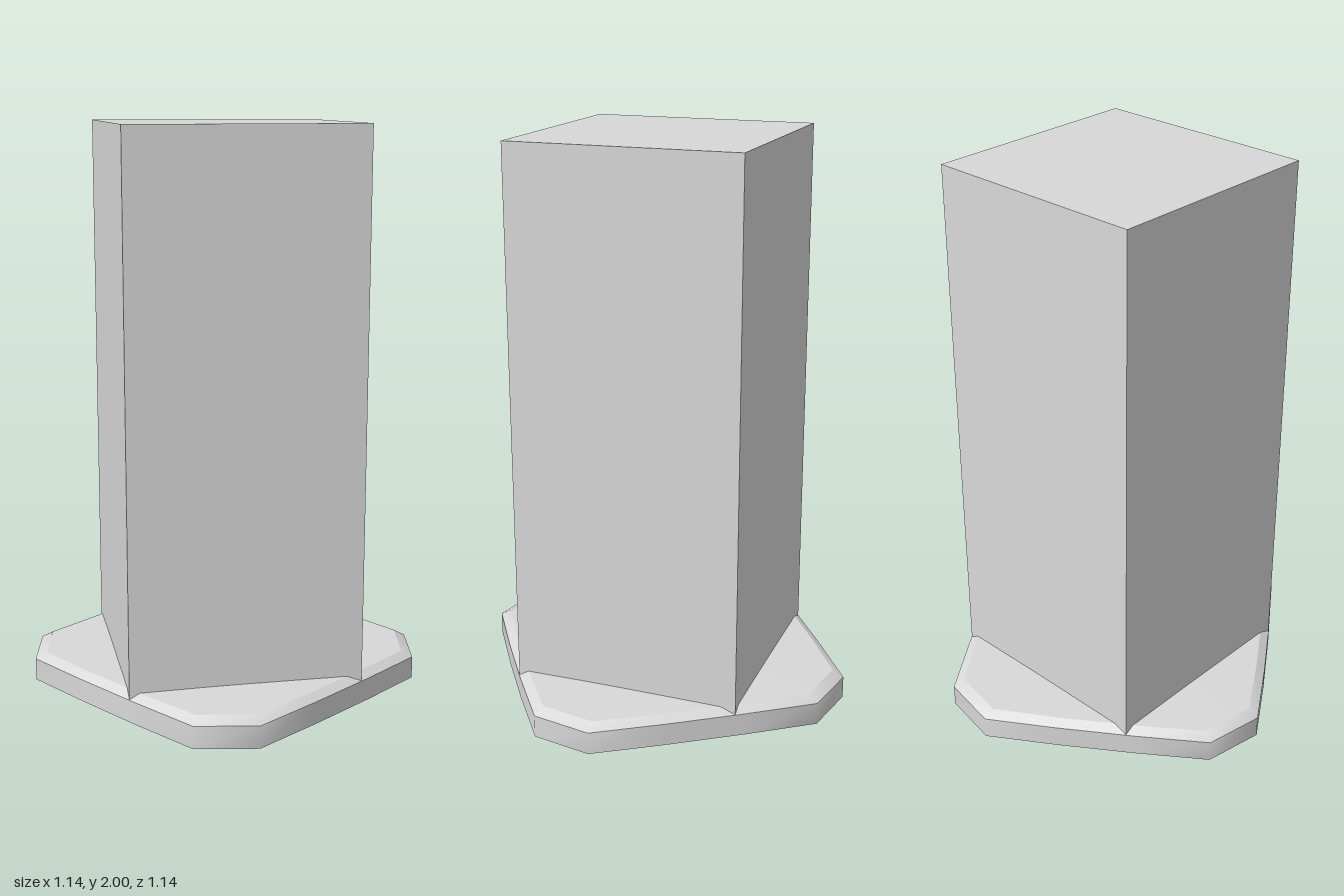
import * as THREE from 'three';
import { toCreasedNormals } from 'three/addons/utils/BufferGeometryUtils.js';

// One side of the plinth outline, repeated by quarter turns
function outline(corner, edge, mid, y) {
  const side = [[-corner, edge], [-0.14, mid], [0.14, mid], [corner, edge]];
  const ring = [];
  for (let q = 0; q < 4; q++) {
    for (const [x, z] of side) {
      ring.push(new THREE.Vector3(x, y, z).applyAxisAngle(new THREE.Vector3(0, 1, 0), q * Math.PI / 2));
    }
  }
  return ring;
}

// Band between two rings, closed by a fan to a centre point below or above
function band(lower, upper, centreY, fanOnTop, crease) {
  const pos = [];
  const tri = (...pts) => pts.forEach((p) => pos.push(p.x, p.y, p.z));
  const centre = new THREE.Vector3(0, centreY, 0);
  for (let i = 0; i < lower.length; i++) {
    const j = (i + 1) % lower.length;
    tri(lower[i], lower[j], upper[j]);
    tri(lower[i], upper[j], upper[i]);
    if (fanOnTop) tri(centre, upper[i], upper[j]);
    else tri(centre, lower[j], lower[i]);
  }
  const geo = new THREE.BufferGeometry();
  geo.setAttribute('position', new THREE.Float32BufferAttribute(pos, 3));
  return toCreasedNormals(geo, crease);
}

export function createModel() {
  const group = new THREE.Group();
  const stone = new THREE.MeshStandardMaterial({ color: 0xd8d8d8 });
  stone.name = 'lightGrey';

  const add = (name, geometry) => {
    const mesh = new THREE.Mesh(geometry, stone);
    mesh.name = name;
    group.add(mesh);
    return mesh;
  };

  // Chamfered plinth with slightly bowed sides: smooth wall, then bevelled top
  const foot = outline(0.408, 0.564, 0.571, 0);
  const rim = outline(0.408, 0.564, 0.571, 0.08);
  const bevel = outline(0.385, 0.53, 0.54, 0.102);
  add('plinthWall', band(foot, rim, 0, false, 0.9));
  add('plinthTop', band(rim, bevel, 0.108, true, 0.45));

  // Square pillar, turned so its corners reach the plinth's edges
  const width = Math.hypot(0.57, 0.107) * Math.SQRT2;
  const pillar = add('pillar', new THREE.BoxGeometry(width, 1.95, width));
  pillar.position.y = 1.025;
  pillar.rotation.y = Math.PI / 4 - Math.atan2(0.57, 0.107);

  return group;
}
